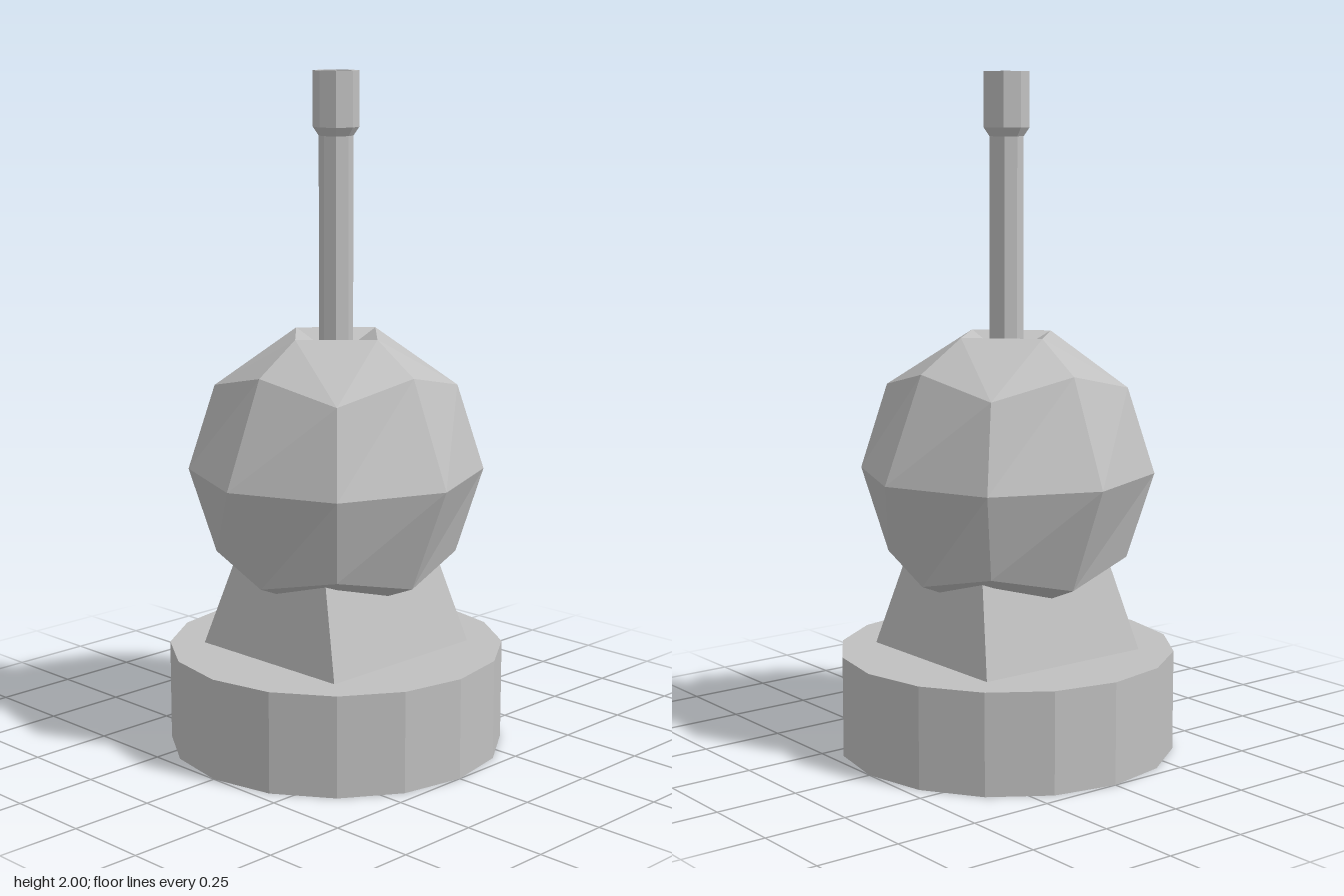
import * as THREE from 'three';

export function createModel() {
  const model = new THREE.Group();
  const grey = new THREE.MeshStandardMaterial({ color: 0xc0c0c0, flatShading: true, side: THREE.DoubleSide });
  grey.name = 'plain grey';

  const add = (name, geometry) => {
    const mesh = new THREE.Mesh(geometry, grey);
    mesh.name = name;
    model.add(mesh);
    return mesh;
  };
  const lathe = (points, sides) =>
    new THREE.LatheGeometry(points.map(([r, y]) => new THREE.Vector2(r, y)), sides);

  // Round base: drum open underneath, closed on top
  add('base', lathe([[0.5, 0], [0.5, 0.3], [0, 0.3]], 16));

  // Pedestal: open four-sided frustum, starting inside the base and ending inside the ball
  const pedestal = new THREE.CylinderGeometry(Math.SQRT2, Math.SQRT2, 0.4, 4, 1, true, Math.PI / 4);
  pedestal.translate(0, 0.42, 0);
  const p = pedestal.attributes.position;
  for (let i = 0; i < p.count; i++) {
    const top = p.getY(i) > 0.4;
    p.setX(i, p.getX(i) * (top ? 0.172 : 0.3));
    p.setZ(i, p.getZ(i) * (top ? 0.225 : 0.3));
  }
  pedestal.computeVertexNormals();
  add('pedestal', pedestal);

  // Ball: cube split two by two and pushed onto a sphere, without its top side
  const R = 0.4375, ballY = 0.835;
  const ball = new THREE.BoxGeometry(1, 1, 1, 2, 2, 2);
  const b = ball.attributes.position;
  const v = new THREE.Vector3();
  for (let i = 0; i < b.count; i++) {
    v.fromBufferAttribute(b, i).setLength(R);
    b.setXYZ(i, v.x, v.y + ballY, v.z);
  }
  const topGroup = ball.groups[2];
  ball.setIndex(Array.from(ball.index.array).filter(
    (_, i) => i < topGroup.start || i >= topGroup.start + topGroup.count));
  ball.clearGroups();
  ball.computeVertexNormals();
  add('ball', ball);

  // Ball crown: four five-sided faces around a sunken pyramid socket
  const crown = [];
  const at = (r, quarter, y) => [r * Math.cos(quarter * Math.PI / 2), y, r * Math.sin(quarter * Math.PI / 2)];
  const mid = R * Math.SQRT1_2, corner = R / Math.sqrt(3);
  const rimY = 1.24, socketY = 1.17;
  for (let k = 0; k < 4; k++) {
    const c = at(corner * Math.SQRT2, k + 0.5, ballY + corner);
    const m0 = at(mid, k, ballY + mid), m1 = at(mid, k + 1, ballY + mid);
    const d0 = at(0.167, k, rimY), d1 = at(0.167, k + 1, rimY);
    const socket = [0, socketY, 0];
    crown.push(...c, ...m0, ...d0, ...c, ...d0, ...d1, ...c, ...d1, ...m1, ...socket, ...d1, ...d0);
  }
  const crownGeometry = new THREE.BufferGeometry();
  crownGeometry.setAttribute('position', new THREE.Float32BufferAttribute(crown, 3));
  crownGeometry.computeVertexNormals();
  add('ballCrown', crownGeometry);

  // Barrel: eight-sided tube with a wider, hollow muzzle
  add('barrel', lathe([
    [0.05, 1.12], [0.05, 1.815], [0.067, 1.84], [0.067, 2], [0.05, 2], [0.05, 1.88], [0, 1.88],
  ], 8));

  return model;
}
